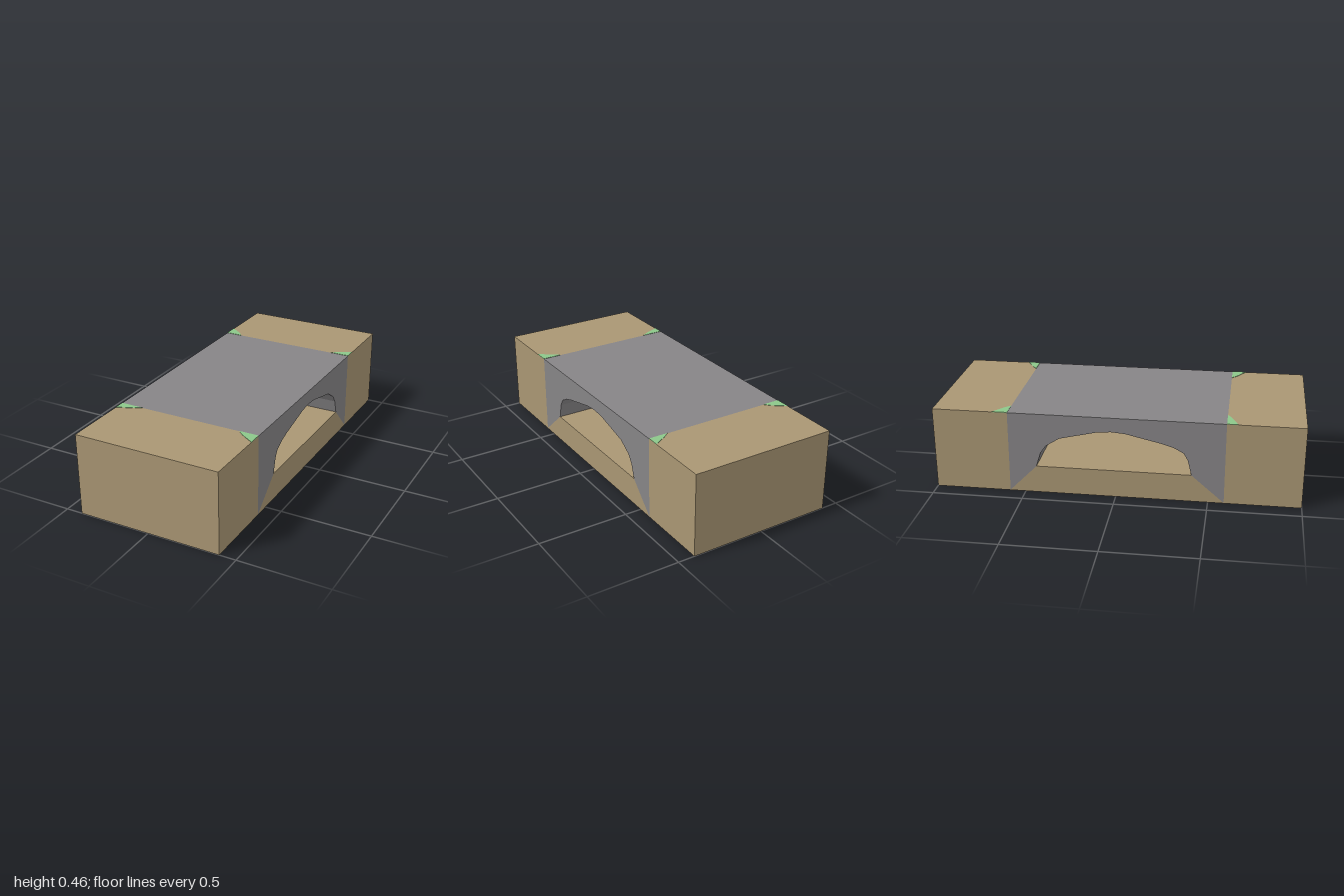
import * as THREE from 'three';

const WIDTH = 0.816, HEIGHT = 0.46, SPAN = 0.586;

const earth = new THREE.MeshStandardMaterial({ color: 0xa99673 });
const stone = new THREE.MeshStandardMaterial({ color: 0x868486 });
const grass = new THREE.MeshStandardMaterial({ color: 0x8cc78a });
earth.name = 'earth';
stone.name = 'stone';
grass.name = 'grass';

const toShape = (points) => new THREE.Shape(points.map(([a, b]) => new THREE.Vector2(a, b)));

// Extrudes a side profile of [z, y] points across the full width
function acrossWidth(name, points, material) {
  const shape = toShape(points.map(([z, y]) => [-z, y]));
  const geometry = new THREE.ExtrudeGeometry(shape, { depth: WIDTH, bevelEnabled: false });
  geometry.translate(0, 0, -WIDTH / 2).rotateY(Math.PI / 2);
  const mesh = new THREE.Mesh(geometry, material);
  mesh.name = name;
  return mesh;
}

// Thin plate of [x, z] points lying on the top surface
function topPatch(name, points) {
  const geometry = new THREE.ExtrudeGeometry(toShape(points), { depth: 0.004, bevelEnabled: false });
  geometry.rotateX(Math.PI / 2).translate(0, HEIGHT + 0.002, 0);
  const mesh = new THREE.Mesh(geometry, grass);
  mesh.name = name;
  return mesh;
}

export function createModel() {
  const model = new THREE.Group();
  model.name = 'bridgeTile';

  // Underside of the arch, front to back
  const arch = [
    [0.408, 0.155], [0.388, 0.24], [0.365, 0.28], [0.31, 0.31], [0.25, 0.328],
    [0.05, 0.374], [-0.025, 0.38], [-0.1, 0.374], [-0.305, 0.326],
    [-0.38, 0.278], [-0.41, 0.235], [-0.435, 0.155],
  ];

  // Ground: two banks joined by a raised bed under the arch
  model.add(acrossWidth('ground', [
    [1, 0], [1, HEIGHT], [SPAN, HEIGHT], [SPAN, 0.002], arch[0], arch[arch.length - 1],
    [-SPAN, 0.002], [-SPAN, HEIGHT], [-1, HEIGHT], [-1, 0],
  ], earth));

  // Arched bridge with sloping feet
  model.add(acrossWidth('bridgeArch', [
    [SPAN, 0.002], ...arch, [-SPAN, 0.002], [-SPAN, HEIGHT], [SPAN, HEIGHT],
  ], stone));

  // Grass patches at the four bridge corners
  const w = WIDTH / 2;
  model.add(
    topPatch('grassBackRight', [[-w, -SPAN], [-0.31, -SPAN], [-0.335, -0.615], [-w, -0.67]]),
    topPatch('grassBackLeft', [[w, -SPAN], [0.3, -SPAN], [0.33, -0.61], [w, -0.655]]),
    topPatch('grassFrontRight', [[-w, SPAN], [-0.28, SPAN], [-0.32, 0.61], [-w, 0.645]]),
    topPatch('grassFrontLeft', [[w, SPAN], [0.3, SPAN], [0.325, 0.612], [w, 0.665]]),
  );
  return model;
}
